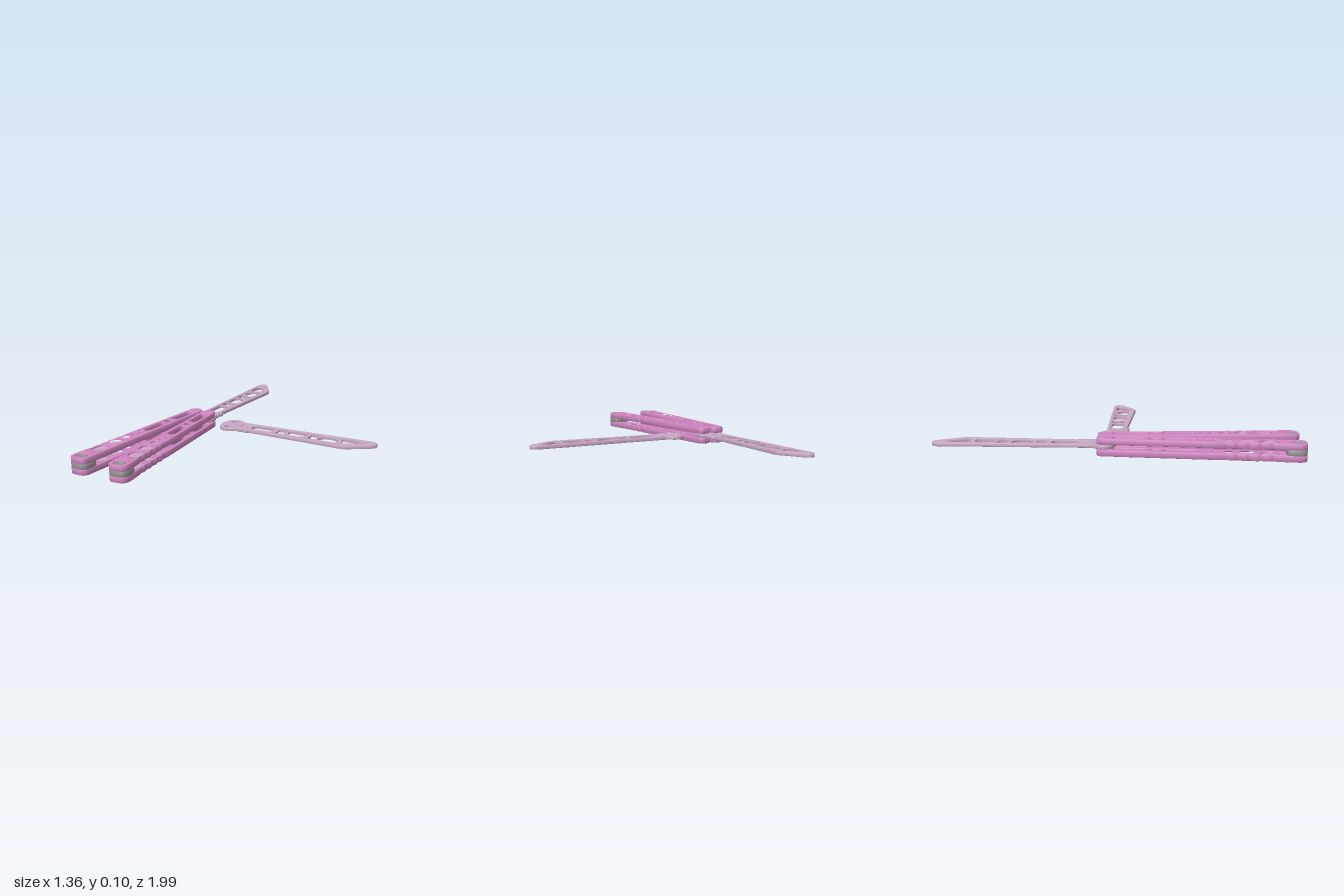
import * as THREE from 'three';
import { toCreasedNormals } from 'three/addons/utils/BufferGeometryUtils.js';

const mat = (name, color) => Object.assign(new THREE.MeshStandardMaterial({ color }), { name });

// Closed outline through the points, each corner eased by up to r
function outline(pts, r, path = new THREE.Shape()) {
  const v = pts.map(([x, y]) => new THREE.Vector2(x, y));
  v.forEach((c, i) => {
    const ease = (o) => {
      const d = o.clone().sub(c);
      return c.clone().addScaledVector(d, Math.min(r, d.length() * 0.49) / d.length());
    };
    const a = ease(v[(i + v.length - 1) % v.length]);
    const b = ease(v[(i + 1) % v.length]);
    if (i === 0) path.moveTo(a.x, a.y); else path.lineTo(a.x, a.y);
    path.quadraticCurveTo(c.x, c.y, b.x, b.y);
  });
  path.closePath();
  return path;
}
const hole = (pts, r) => outline(pts, r, new THREE.Path());
const round = (x, y, r) => new THREE.Path().absarc(x, y, r, 0, Math.PI * 2);

// Flat plate lying between heights y0 and y1, shape y running along +z
function plate(name, shape, y0, y1, bevel, material) {
  const g = new THREE.ExtrudeGeometry(shape, {
    depth: y1 - y0 - 2 * bevel, curveSegments: 6, bevelEnabled: bevel > 0,
    bevelSize: bevel, bevelThickness: bevel, bevelOffset: -bevel, bevelSegments: 2,
  });
  g.rotateX(Math.PI / 2).translate(0, y1 - bevel, 0);
  const m = new THREE.Mesh(toCreasedNormals(g, 0.6), material);
  m.name = name;
  return m;
}

export function createModel() {
  const pink = mat('handle pink', 0xd086c0);
  const mauve = mat('blade mauve', 0xc8a8c4);
  const grey = mat('hardware grey', 0x969494);
  const model = new THREE.Group();
  model.name = 'balisongTrainer';

  function disc(name, r, y0, y1, z, material, sides = 28) {
    const m = new THREE.Mesh(new THREE.CylinderGeometry(r, r, y1 - y0, sides), material);
    m.position.set(0, (y0 + y1) / 2, z);
    m.name = name;
    return m;
  }

  // Blade: +x runs to the tip, +z is the edge side, origin between the pivots
  function blade(name) {
    const g = new THREE.Group();
    g.name = name;
    const body = outline([
      [-0.062, -0.02], [-0.045, -0.07], [-0.015, -0.088], [0.025, -0.085], [0.065, -0.055],
      [0.905, -0.055], [0.931, -0.035], [0.931, -0.008], [0.905, 0.014],
      [0.775, 0.09], [0.755, 0.093], [0.175, 0.062], [0.15, 0.06], [0.138, 0.076], [0.125, 0.076],
      [0.113, 0.066], [0.1, 0.066], [0.09, 0.076], [0.08, 0.066], [0.06, 0.066],
      [0.03, 0.085], [-0.015, 0.088], [-0.045, 0.07], [-0.062, 0.02],
    ], 0.014);
    const slot = [[0.072, -0.036], [0.81, -0.036], [0.848, -0.022], [0.845, 0.0],
      [0.745, 0.062], [0.15, 0.036], [0.072, 0.036]];
    body.holes.push(hole(slot, 0.028), round(0, -0.05, 0.022), round(0, 0.05, 0.022));
    g.add(plate('bladeFrame', body, 0.038, 0.06, 0.003, mauve));

    // Recessed web with the lightening holes
    const web = outline(slot, 0.028);
    [
      [[[0.146, -0.033], [0.288, -0.033], [0.282, 0.036], [0.146, 0.032]], 0.025],
      [[[0.306, -0.033], [0.378, -0.033], [0.362, 0.0], [0.374, 0.04], [0.312, 0.037], [0.318, 0]], 0.012],
      [[[0.386, -0.033], [0.5, -0.033], [0.506, 0.005], [0.48, 0.044], [0.41, 0.044], [0.382, 0.005]], 0.035],
      [[[0.518, -0.033], [0.594, -0.033], [0.572, 0], [0.582, 0.048], [0.52, 0.045], [0.53, 0]], 0.012],
      [[[0.582, 0.02], [0.61, -0.022], [0.682, -0.022], [0.712, 0.015], [0.704, 0.054], [0.592, 0.05]], 0.035],
      [[[0.718, -0.032], [0.81, -0.033], [0.842, -0.02], [0.84, -0.002], [0.745, 0.056], [0.73, 0.01]], 0.016],
    ].forEach(([pts, r]) => web.holes.push(hole(pts, r)));
    g.add(plate('bladeWeb', web, 0.042, 0.056, 0, mauve));
    return g;
  }

  const mounted = blade('mountedBlade');
  mounted.rotation.y = Math.PI / 2;
  mounted.position.set(-0.4975, 0, -0.072);
  const spare = blade('spareBlade');
  spare.position.set(-0.253, 0, -0.025);
  model.add(mounted, spare);

  // Handle: +z runs from the pivot to the tail pin; m is the outward side in x
  function handle(name, m) {
    const g = new THREE.Group();
    g.name = name;
    const L = 1.012;
    const flip = (pts) => pts.map(([x, y]) => [x * m, y]);
    const half = (s) => 0.043 + 0.011 * s;

    // Inner edge straight, outer edge with shallow grip scallops
    const edge = [[-0.025, -0.038], [0.025, -0.038], [0.043, -0.015], [half(0.6), 0.6]];
    for (let s = 0.64; s < 0.9; s += 0.06) {
      edge.push([half(s) - 0.006, s], [half(s) - 0.006, s + 0.015], [half(s), s + 0.03], [half(s), s + 0.045]);
    }
    const tail = [[0.057, 0.99], [0.055, 1.035], [0.035, 1.057], [-0.035, 1.057], [-0.055, 1.035], [-0.057, 0.99]];
    edge.push(...tail, [-0.043, -0.015]);

    const slot = (a, b, w) => [[-w, a], [w, a], [w, b], [-w, b]];
    const pockets = [
      [[[-0.022, 0.632], [0.016, 0.628], [0.032, 0.656], [0.016, 0.684], [-0.022, 0.68]], 0.02],
      [[[-0.034, 0.712], [0.012, 0.708], [0.036, 0.735], [0.036, 0.765], [0.012, 0.792], [-0.034, 0.788]], 0.025],
      [[[0.036, 0.818], [-0.008, 0.816], [-0.034, 0.845], [-0.034, 0.885], [-0.008, 0.914], [0.036, 0.912]], 0.028],
    ];
    const scale = () => {
      const s = outline(flip(edge), 0.016);
      s.holes.push(
        hole(slot(0.046, 0.226, 0.022), 0.022), hole(slot(0.24, 0.3, 0.022), 0.022),
        hole(slot(0.312, 0.492, 0.022), 0.022),
        round(0, 0.535, 0.011), round(0, 0.587, 0.017), round(0, 0, 0.034), round(0, L, 0.034),
        ...pockets.map(([p, r]) => hole(flip(p), r)));
      return s;
    };
    g.add(plate('lowerScale', scale(), 0, 0.036, 0.006, pink));
    g.add(plate('upperScale', scale(), 0.062, 0.098, 0.006, pink));

    // Inlays set in the pockets of both scales
    for (const y of [0.01, 0.072]) {
      pockets.forEach(([p, r]) => g.add(plate('inlay', outline(flip(p), r), y, y + 0.016, 0, mauve)));
      g.add(disc('inlayDot', 0.017, y, y + 0.016, 0.587, mauve, 16));
    }

    // Tail spacer
    g.add(plate('tailSpacer', outline([[0.05, 0.952], ...tail, [-0.05, 0.952]], 0.016), 0.034, 0.064, 0.002, grey));

    // Pivot and tail fasteners: collar, shaft and socketed heads
    for (const z of [0, L]) {
      g.add(disc('pinShaft', 0.02, 0.006, 0.092, z, grey));
      for (const [a, b] of [[0.003, 0.038], [0.06, 0.095]]) {
        const head = new THREE.Shape().absarc(0, 0, 0.031, 0, Math.PI * 2);
        head.holes.push(new THREE.Path().absarc(0, 0, 0.011, 0, Math.PI * 2));
        const p = plate('pinHead', head, a, b, 0.003, grey);
        p.position.z = z;
        g.add(p);
      }
    }
    g.position.set(-0.4975 + m * 0.0475, 0, -0.072);
    g.rotation.y = m * 0.077;
    return g;
  }
  model.add(handle('rightHandle', -1), handle('leftHandle', 1));
  return model;
}
